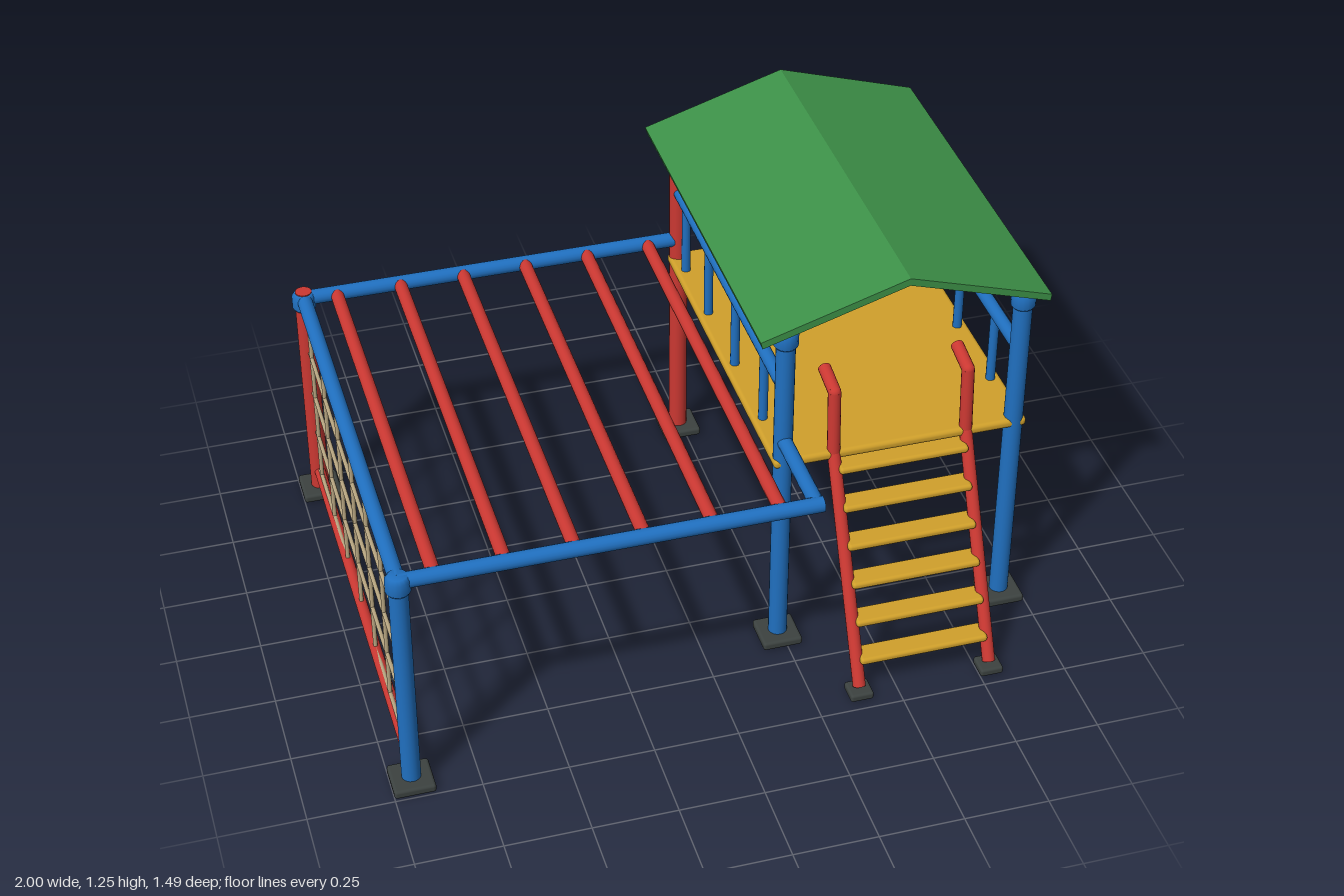
import * as THREE from 'three';
import { RoundedBoxGeometry } from 'three/addons/geometries/RoundedBoxGeometry.js';

const paint = (name, color) => {
  const m = new THREE.MeshStandardMaterial({ color });
  m.name = name;
  return m;
};

export function createModel() {
  const blue = paint('blue paint', 0x2070c0);
  const red = paint('red paint', 0xcb3832);
  const green = paint('green roof', 0x3d9148);
  const yellow = paint('yellow board', 0xd0a02b);
  const dark = paint('dark footing', 0x3c4240);
  const rope = paint('rope', 0xb9a782);

  const model = new THREE.Group();
  model.name = 'playground';
  const group = (name) => {
    const g = new THREE.Group();
    g.name = name;
    model.add(g);
    return g;
  };
  const add = (parent, name, geo, mat, x = 0, y = 0, z = 0) => {
    const m = new THREE.Mesh(geo, mat);
    m.name = name;
    m.position.set(x, y, z);
    parent.add(m);
    return m;
  };
  // Round bar between two points
  const bar = (parent, name, a, b, r, mat, sides = 16) => {
    const p = new THREE.Vector3(...a), q = new THREE.Vector3(...b);
    const d = q.clone().sub(p);
    const m = add(parent, name, new THREE.CylinderGeometry(r, r, d.length(), sides), mat);
    m.position.copy(p).add(q).multiplyScalar(0.5);
    m.quaternion.setFromUnitVectors(new THREE.Vector3(0, 1, 0), d.normalize());
    return m;
  };
  const board = (parent, name, w, h, d, r, mat, x, y, z) =>
    add(parent, name, new RoundedBoxGeometry(w, h, d, 2, r), mat, x, y, z);

  // Chamfered collar on top of each post
  const capGeo = (h) => new THREE.LatheGeometry([
    [0, 0], [0.03, 0], [0.036, 0.008], [0.036, h - 0.012], [0.027, h], [0, h],
  ].map(([x, y]) => new THREE.Vector2(x, y)), 16);

  const F = 0.376, B = -0.685, XL = 0.235, XR = 0.935, XN = -0.94, N = 0.685;

  // Posts with footings and caps
  const posts = group('posts');
  const post = (x, z, top, capHeight, mat) => {
    board(posts, 'footing', 0.12, 0.027, 0.12, 0.009, dark, x, 0.0135, z);
    bar(posts, 'post', [x, 0.015, z], [x, top - 0.005, z], 0.028, mat, 20);
    add(posts, 'postCap', capGeo(capHeight), blue, x, top - capHeight, z);
  };
  for (const x of [XL, XR]) {
    post(x, F, 1.115, 0.055, blue);
    post(x, B, 1.115, 0.055, red);
  }
  post(XN, N, 0.758, 0.058, blue);
  post(XN, -N, 0.758, 0.058, red);
  bar(posts, 'postTip', [XN, 0.74, -N], [XN, 0.761, -N], 0.025, red);

  // Tower deck
  board(group('deck'), 'platform', 0.765, 0.03, 1.105, 0.013, yellow, 0.586, 0.661, -0.152);

  // Guard rails on both sides and the back
  const rails = group('guardRails');
  for (const x of [XL, XR]) {
    bar(rails, 'sideRail', [x, 0.914, F], [x, 0.914, B], 0.02, blue);
    for (const z of [0.19, -0.086, -0.358, -0.598])
      bar(rails, 'sideBaluster', [x, 0.67, z], [x, 0.914, z], 0.014, blue, 12);
  }
  bar(rails, 'backRail', [XL, 0.914, B], [XR, 0.914, B], 0.02, red);
  for (const x of [0.415, 0.585, 0.755])
    bar(rails, 'backBaluster', [x, 0.67, B], [x, 0.914, B], 0.014, blue, 12);

  // Gable roof, a chevron extruded along z
  const roof = new THREE.Shape([
    [0.147, 1.117], [0.153, 1.096], [0.575, 1.227], [0.997, 1.096], [1.0, 1.117], [0.575, 1.25],
  ].map(([x, y]) => new THREE.Vector2(x, y)));
  add(group('roof'), 'roofPanels',
    new THREE.ExtrudeGeometry(roof, { depth: 1.168, bevelEnabled: false }), green, 0, 0, -0.746);

  // Ladder with bent hand grips and flat treads
  const ladder = group('ladder');
  const foot = [0.03, 0.685], knee = [0.665, 0.385], top = [0.868, 0.372], grip = [0.888, 0.28];
  for (const x of [0.385, 0.785]) {
    board(ladder, 'ladderFooting', 0.07, 0.025, 0.07, 0.008, dark, x, 0.0125, 0.685);
    const pts = [foot, knee, top, grip];
    pts.slice(1).forEach((p, i) =>
      bar(ladder, 'ladderRail', [x, ...pts[i]], [x, ...p], 0.019, red));
    for (const p of [knee, top])
      add(ladder, 'railElbow', new THREE.SphereGeometry(0.019, 16, 10), red, x, ...p);
  }
  for (let i = 0; i < 6; i++) {
    const y = 0.111 + i * 0.103;
    const z = 0.685 - ((y - 0.03) / 0.635) * 0.3;
    board(ladder, 'tread', 0.39, 0.023, 0.07, 0.01, yellow, 0.585, y, z);
  }

  // Overhead climbing frame
  const frame = group('climbingFrame');
  const Y = 0.736;
  bar(frame, 'frontBeam', [XN, Y, N], [0.252, Y, N], 0.023, blue);
  bar(frame, 'backBeam', [XN, Y, -N], [XL, Y, -N], 0.023, blue);
  bar(frame, 'endBeam', [XN, Y, N], [XN, Y, -N], 0.023, blue);
  bar(frame, 'linkBeam', [XL, Y, N], [XL, Y, F], 0.022, blue);
  for (let i = 0; i < 6; i++) {
    const x = -0.84 + i * 0.1945;
    bar(frame, 'overheadRung', [x, Y, 0.675], [x, Y, -0.675], 0.02, red);
  }

  // Rope net with a bottom rail, strands sagging slightly
  const net = group('net');
  bar(net, 'netRail', [XN, 0.088, N], [XN, 0.088, -N], 0.017, red);
  const strand = (pts) => add(net, 'netRope', new THREE.TubeGeometry(
    new THREE.CatmullRomCurve3(pts.map((p) => new THREE.Vector3(...p))), 12, 0.0065, 8), rope);
  for (let i = 0; i < 5; i++) {
    const y = 0.105 + i * 0.15;
    strand([[XN, y, 0.65], [XN, y - 0.008, 0], [XN, y, -0.65]]);
  }
  for (let i = -3; i <= 3; i++) {
    const z = i * 0.208;
    strand([[XN, 0.095, z], [XN, 0.4, z * 0.997], [XN, 0.72, z]]);
  }
  return model;
}
